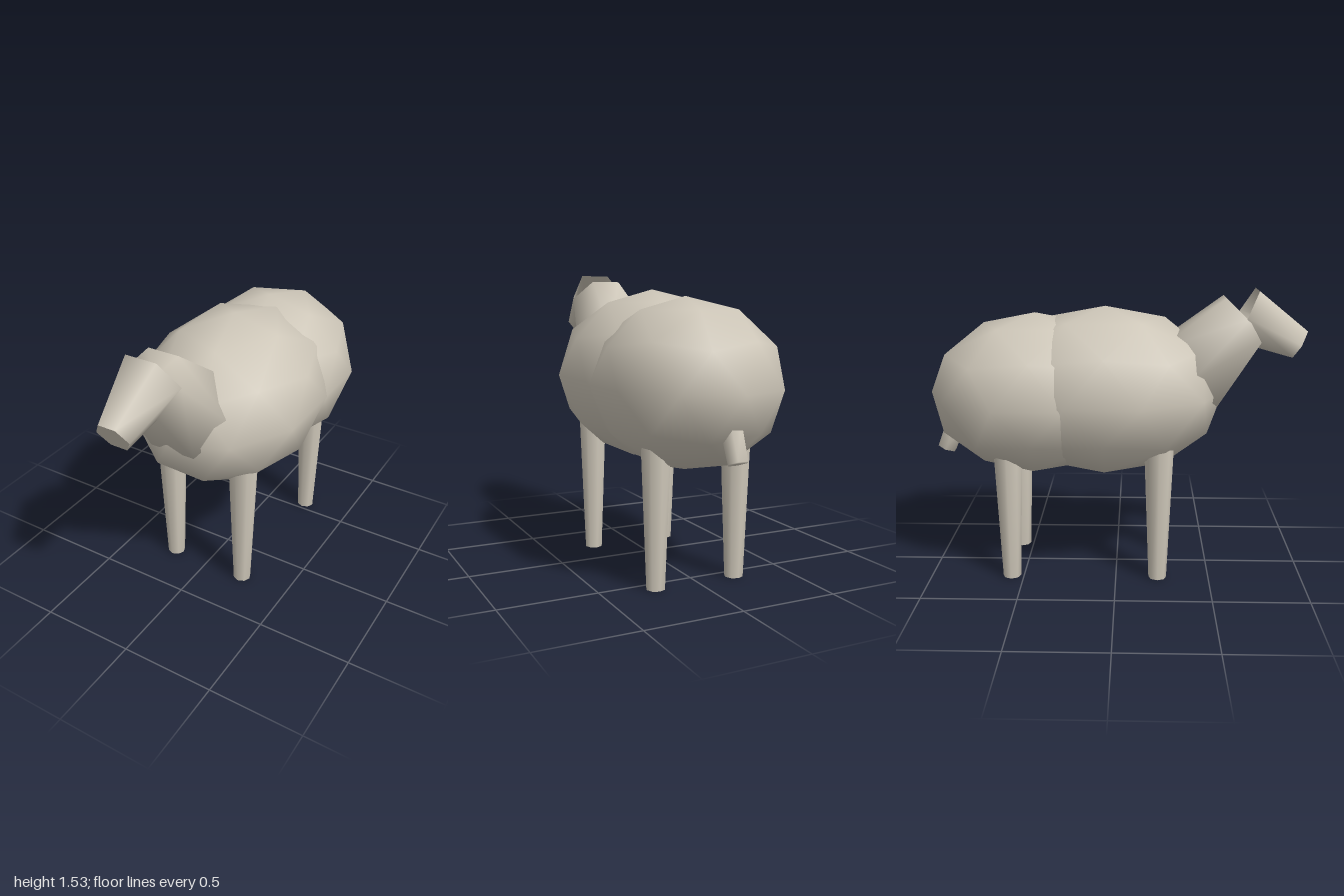
import * as THREE from 'three';
import { mergeVertices } from 'three/addons/utils/BufferGeometryUtils.js';

// Low-sided tapered limb between two points given as [x, y, z], smooth shaded
function limb(start, end, rStart, rEnd, sides, open = false) {
  const a = new THREE.Vector3(...start);
  const b = new THREE.Vector3(...end);
  const dir = b.clone().sub(a);
  let geo = new THREE.CylinderGeometry(rEnd, rStart, dir.length(), sides, 1, open, Math.PI / 2);
  geo.deleteAttribute('uv');
  geo.deleteAttribute('normal');
  geo = mergeVertices(geo, 1e-4);
  geo.computeVertexNormals();
  geo.rotateX(Math.atan2(dir.z, dir.y));
  const mid = a.add(b).multiplyScalar(0.5);
  geo.translate(mid.x, mid.y, mid.z);
  return geo;
}

// Faceted-outline ellipsoid with its pole upwards
function blob(rx, ry, rz, y, z) {
  const geo = new THREE.IcosahedronGeometry(1, 1);
  geo.rotateX(-Math.atan((1 + Math.sqrt(5)) / 2));
  geo.rotateY(Math.PI / 2);
  geo.scale(rx, ry, rz);
  geo.translate(0, y, z);
  return geo;
}

export function createModel() {
  const group = new THREE.Group();
  const wool = new THREE.MeshStandardMaterial({ color: 0xcdc6b8, side: THREE.DoubleSide });
  wool.name = 'wool';

  const add = (name, geo) => {
    const mesh = new THREE.Mesh(geo, wool);
    mesh.name = name;
    group.add(mesh);
  };

  // Body: two overlapping halves
  add('chest', blob(0.478, 0.45, 0.63, 0.99, -0.06));
  add('rump', blob(0.465, 0.43, 0.57, 0.975, -0.43));

  // Neck leans forward out of the chest
  add('neck', limb([0, 1.08, 0.37], [0, 1.39, 0.665], 0.25, 0.165, 6));

  // Head: muzzle tapering forwards, open at the back
  add('head', limb([0, 1.40, 0.663], [0, 1.247, 0.956], 0.165, 0.09, 6, true));
  const muzzle = new THREE.CircleGeometry(0.09, 6);
  muzzle.rotateX(Math.atan2(0.153, 0.293));
  muzzle.translate(0, 1.247, 0.956);
  add('muzzleTip', muzzle);

  // Legs
  for (const [side, x] of [['Right', -0.214], ['Left', 0.227]]) {
    for (const [end, z] of [['front', 0.225], ['back', -0.565]]) {
      add(`${end}${side}Leg`, limb([x, 0, z], [x, 0.86, z], 0.048, 0.082, 8));
    }
  }

  // Stubby tail
  add('tail', limb([0, 0.84, -0.86], [0, 0.662, -0.932], 0.058, 0.053, 6));

  return group;
}
